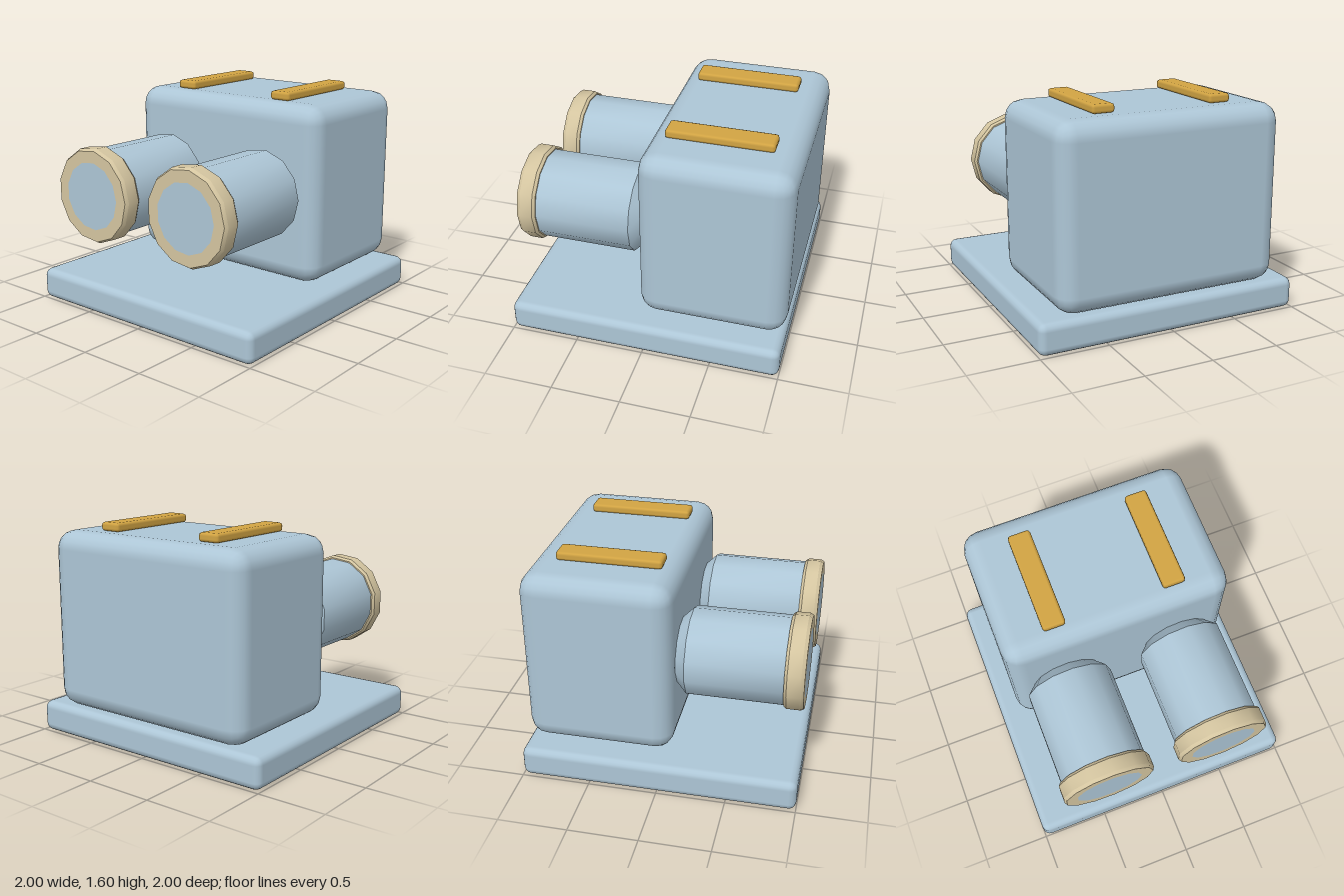
import * as THREE from 'three';
import { toCreasedNormals } from 'three/addons/utils/BufferGeometryUtils.js';
import { RoundedBoxGeometry } from 'three/addons/geometries/RoundedBoxGeometry.js';

const SIDES = 13;

const material = (name, color) => {
  const m = new THREE.MeshStandardMaterial({ color });
  m.name = name;
  return m;
};

// Rounded box given by its min and max corners
function roundedBox(name, mat, min, max, radius, segments) {
  const size = max.map((v, i) => v - min[i]);
  const mesh = new THREE.Mesh(new RoundedBoxGeometry(...size, segments, radius), mat);
  mesh.position.set(...max.map((v, i) => (v + min[i]) / 2));
  mesh.name = name;
  return mesh;
}

// Lathe around the z axis from [radius, z] points, with sharp profile edges
function turned(name, mat, profile) {
  const points = profile.map(([r, z]) => new THREE.Vector2(r, z));
  const lathe = new THREE.LatheGeometry(points, SIDES, Math.PI / 2).rotateX(Math.PI / 2);
  const mesh = new THREE.Mesh(toCreasedNormals(lathe, 0.5), mat);
  mesh.name = name;
  return mesh;
}

export function createModel() {
  const blue = material('pale blue', 0xadc6d6);
  const tan = material('pale tan', 0xd4c5a0);
  const gold = material('gold', 0xd2a443);

  const model = new THREE.Group();
  model.name = 'twinBarrelBlock';

  // Base slab and main housing
  model.add(roundedBox('base', blue, [-1, 0, -1], [1, 0.23, 1], 0.055, 2));
  model.add(roundedBox('housing', blue, [-0.848, 0.23, -1], [0.848, 1.54, 0.078], 0.135, 2));

  for (const side of [-1, 1]) {
    const label = side > 0 ? 'left' : 'right';

    // Barrel with tapered root, collar ring and flush front disc
    const barrel = new THREE.Group();
    barrel.name = label + 'Barrel';
    barrel.position.set(side * 0.443, 0.89, 0);
    barrel.add(turned('tube', blue, [[0.235, 0.065], [0.325, 0.155], [0.325, 0.86]]));
    barrel.add(turned('collar', tan, [
      [0.32, 0.845], [0.335, 0.845], [0.35, 0.865], [0.35, 0.96], [0.335, 0.985], [0.248, 0.985],
    ]));
    const disc = new THREE.Mesh(new THREE.CircleGeometry(0.248, SIDES), blue);
    disc.name = 'frontDisc';
    disc.position.z = 0.985;
    barrel.add(disc);
    model.add(barrel);

    // Bar along the top
    const x = side * 0.443;
    model.add(roundedBox(label + 'TopBar', gold,
      [x - 0.083, 1.538, -0.805], [x + 0.083, 1.603, -0.045], 0.022, 1));
  }
  return model;
}
